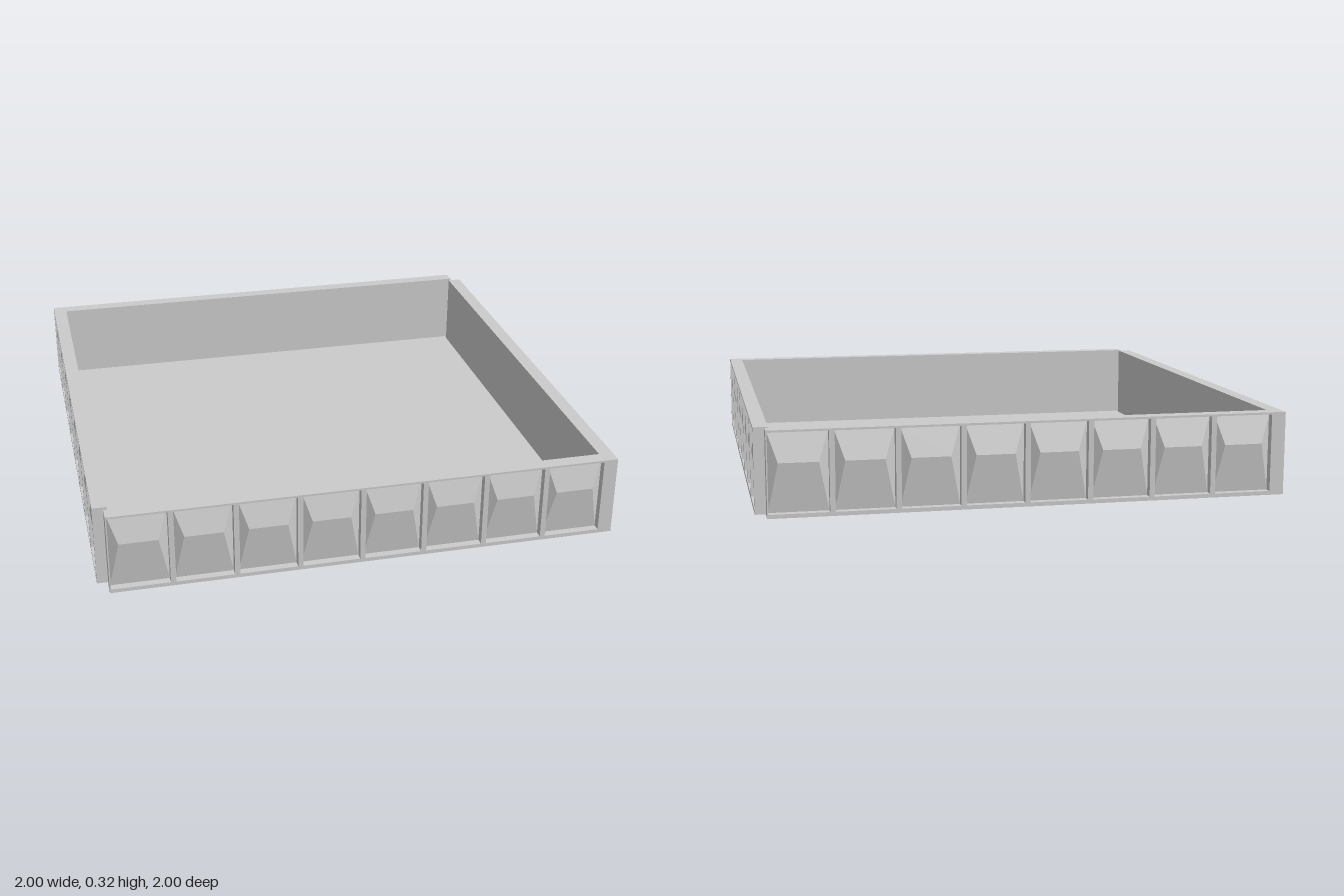
import * as THREE from 'three';

const H = 0.32, OUTER = 1, INNER = 0.945, RECESS = 0.03;
const PANEL_W = 0.22, PITCH = 0.24, PANEL_Y0 = 0.015, PANEL_Y1 = 0.312;
const material = new THREE.MeshStandardMaterial({ color: 0xcccccc, flatShading: true });

function addMesh(parent, name, geometry) {
  const mesh = new THREE.Mesh(geometry, material);
  mesh.name = name;
  parent.add(mesh);
  return mesh;
}

function rectangle(PathType, x0, y0, x1, y1) {
  return new PathType([[x0, y0], [x1, y0], [x1, y1], [x0, y1]].map(p => new THREE.Vector2(...p)));
}

// Four-sided facet block whose front collapses to a horizontal ridge
function facetGeometry() {
  const w = PANEL_W / 2, r = w - 0.037, ridgeY = 0.2, out = 0.026;
  const a = [-w, PANEL_Y0, 0], b = [w, PANEL_Y0, 0], c = [w, PANEL_Y1, 0], d = [-w, PANEL_Y1, 0];
  const e = [-r, ridgeY, out], f = [r, ridgeY, out];
  const faces = [[a, b, f], [a, f, e], [d, e, f], [d, f, c], [a, e, d], [b, c, f]];
  const g = new THREE.BufferGeometry();
  g.setAttribute('position', new THREE.Float32BufferAttribute(faces.flat(2), 3));
  g.computeVertexNormals();
  return g;
}

// Wall section facing +z: backing slab, pierced frame and faceted panels
function wallSection(name, x0, x1, firstPanel, count) {
  const wall = new THREE.Group();
  wall.name = name;
  const backZ = OUTER - RECESS;
  addMesh(wall, 'backing', new THREE.BoxGeometry(x1 - x0, H, backZ - INNER))
    .position.set((x0 + x1) / 2, H / 2, (backZ + INNER) / 2);

  const frame = rectangle(THREE.Shape, x0, 0, x1, H);
  const facet = facetGeometry();
  for (let i = 0; i < count; i++) {
    const px = firstPanel + i * PITCH;
    frame.holes.push(rectangle(THREE.Path, px, PANEL_Y0, px + PANEL_W, PANEL_Y1));
    addMesh(wall, 'facetedPanel', facet).position.set(px + PANEL_W / 2, 0, backZ + 0.0005);
  }
  addMesh(wall, 'frame', new THREE.ExtrudeGeometry(frame, { depth: RECESS, bevelEnabled: false }))
    .position.z = backZ;
  return wall;
}

export function createModel() {
  const model = new THREE.Group();
  model.name = 'panelledTray';

  addMesh(model, 'floor', new THREE.BoxGeometry(2 * INNER, 0.008, 2 * INNER)).position.y = 0.004;

  // Each half holds one long wall and one two-piece side wall; the halves are half a turn apart
  for (let i = 0; i < 2; i++) {
    const half = new THREE.Group();
    half.name = i ? 'rearHalf' : 'frontHalf';
    half.rotation.y = i * Math.PI;
    half.add(wallSection('longWall', -0.96, INNER + 0.002, -0.955, 8));

    const side = new THREE.Group();
    side.name = 'sideWall';
    side.rotation.y = Math.PI / 2;
    side.add(wallSection('sideWallLong', -1, 0.2, -0.99, 5));
    side.add(wallSection('sideWallShort', 0.2, 0.925, 0.21, 3));
    half.add(side);
    model.add(half);
  }
  return model;
}
